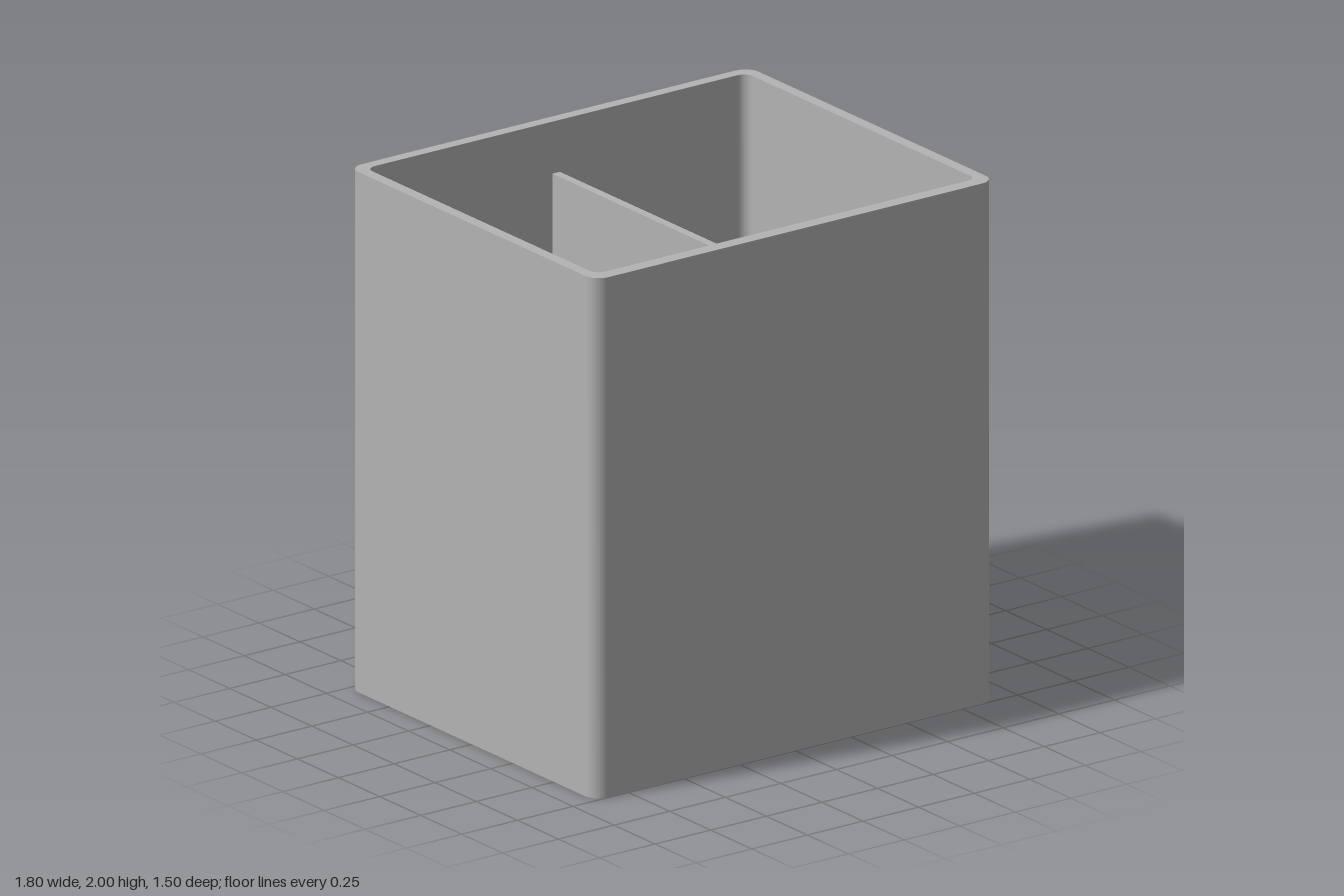
import * as THREE from 'three';
import { toCreasedNormals } from 'three/addons/utils/BufferGeometryUtils.js';

const HEIGHT = 2, FLOOR = 0.05;
const DIVIDER_TOP = 1.8, DIVIDER_WIDTH = 0.034;
const BACK = -0.705, FRONT = 0.695, INNER_X = 0.855;

// Rounded rectangle drawn in the plan; shape y becomes -z once laid flat
function roundedRect(path, x0, x1, y0, y1, r) {
  path.absarc(x1 - r, y0 + r, r, -Math.PI / 2, 0);
  path.absarc(x1 - r, y1 - r, r, 0, Math.PI / 2);
  path.absarc(x0 + r, y1 - r, r, Math.PI / 2, Math.PI);
  path.absarc(x0 + r, y0 + r, r, Math.PI, Math.PI * 1.5);
  path.closePath();
  return path;
}

// Upright prism of a plan shape, with smooth round corners and sharp rims
function prism(shape, y0, y1) {
  const geometry = new THREE.ExtrudeGeometry(shape, {
    depth: y1 - y0, bevelEnabled: false, curveSegments: 10,
  });
  geometry.rotateX(-Math.PI / 2).translate(0, y0, 0);
  return toCreasedNormals(geometry, Math.PI / 6);
}

export function createModel() {
  const group = new THREE.Group();
  group.name = 'dividedHolder';
  const grey = new THREE.MeshStandardMaterial({ color: 0xb3b3b3 });
  grey.name = 'grey';

  const add = (name, geometry) => {
    const mesh = new THREE.Mesh(geometry, grey);
    mesh.name = name;
    group.add(mesh);
  };

  const outline = () => roundedRect(new THREE.Shape(), -0.9, 0.9, -0.75, 0.75, 0.06);
  const cavity = (path) => roundedRect(path, -INNER_X, INNER_X, -FRONT, -BACK, 0.04);

  // Outer walls, open at the top
  const wallShape = outline();
  wallShape.holes.push(cavity(new THREE.Path()));
  add('walls', prism(wallShape, 0, HEIGHT));

  // Floor filling the bottom of the cavity
  add('floor', prism(cavity(new THREE.Shape()), 0, FLOOR));

  // Central divider, lower than the rim
  const divider = new THREE.BoxGeometry(DIVIDER_WIDTH, DIVIDER_TOP - FLOOR, FRONT - BACK);
  divider.translate(0, (DIVIDER_TOP + FLOOR) / 2, (FRONT + BACK) / 2);
  add('divider', divider);

  return group;
}
